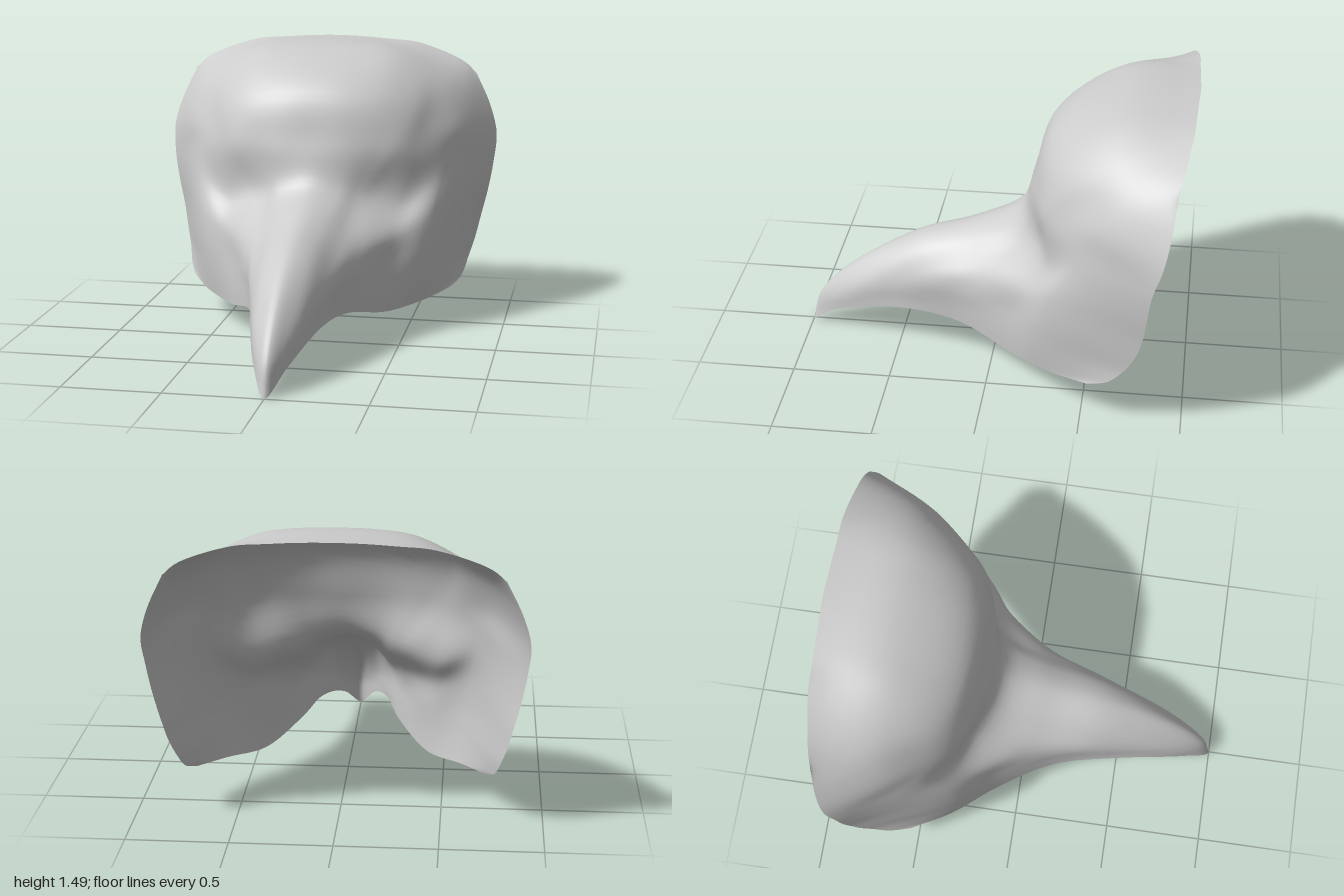
import * as THREE from 'three';

// Guide lines down one half of the mask, each from the top edge to the bottom edge.
const ridge = [
  [0, 1.487, -1], [0, 1.46, -0.62], [0, 1.27, -0.28], [0, 1.0, -0.19], [0, 0.8, -0.12],
  [0, 0.68, 0.12], [0, 0.58, 0.42], [0, 0.36, 0.78], [0, 0.17, 0.955], [0, 0, 1]];
const beakTop = [
  [0.15, 1.483, -0.995], [0.18, 1.455, -0.62], [0.18, 1.26, -0.29], [0.18, 1.0, -0.2], [0.16, 0.77, -0.145],
  [0.12, 0.645, 0.1], [0.11, 0.53, 0.42], [0.09, 0.31, 0.74], [0.075, 0.18, 0.86], [0.08, 0.11, 0.86]];
const beakFlank = [
  [0.3, 1.473, -0.99], [0.36, 1.43, -0.62], [0.36, 1.23, -0.33], [0.34, 1.0, -0.24], [0.25, 0.74, -0.19],
  [0.225, 0.56, 0.08], [0.195, 0.43, 0.37], [0.175, 0.32, 0.5], [0.175, 0.26, 0.5], [0.18, 0.215, 0.49]];
const beakRoot = [
  [0.45, 1.46, -0.985], [0.52, 1.36, -0.64], [0.51, 1.19, -0.41], [0.44, 0.98, -0.275], [0.33, 0.73, -0.235],
  [0.31, 0.53, 0], [0.28, 0.39, 0.13], [0.27, 0.31, 0.15], [0.265, 0.26, 0.16], [0.26, 0.207, 0.17]];
const eyeAndCheek = [
  [0.64, 1.4, -0.96], [0.64, 1.27, -0.65], [0.6, 1.13, -0.48], [0.54, 0.95, -0.345], [0.47, 0.7, -0.295],
  [0.45, 0.54, -0.175], [0.42, 0.4, -0.125], [0.42, 0.29, -0.115], [0.42, 0.21, -0.115], [0.42, 0.145, -0.12]];
const temple = [
  [0.73, 1.355, -0.945], [0.74, 1.2, -0.72], [0.73, 1.06, -0.59], [0.68, 0.93, -0.49], [0.66, 0.78, -0.43],
  [0.63, 0.61, -0.34], [0.61, 0.46, -0.3], [0.6, 0.33, -0.3], [0.595, 0.24, -0.31], [0.59, 0.165, -0.32]];
const rim = [
  [0.79, 1.3, -0.93], [0.87, 1.13, -0.91], [0.91, 0.98, -0.88], [0.9, 0.83, -0.835], [0.875, 0.68, -0.815],
  [0.84, 0.53, -0.795], [0.815, 0.42, -0.76], [0.785, 0.32, -0.705], [0.76, 0.24, -0.63], [0.72, 0.195, -0.53]];

const toCurve = (points, side = 1) =>
  new THREE.CatmullRomCurve3(points.map(([x, y, z]) => new THREE.Vector3(side * x, y, z)));

// Smooth sheet stretched across a row of guide curves.
function loft(guides, rows, cols) {
  const positions = [], index = [];
  for (let r = 0; r <= rows; r++) {
    const section = new THREE.CatmullRomCurve3(guides.map(g => g.getPoint(r / rows)));
    for (let c = 0; c <= cols; c++) positions.push(...section.getPoint(c / cols).toArray());
  }
  for (let r = 0; r < rows; r++) {
    for (let c = 0; c < cols; c++) {
      const a = r * (cols + 1) + c, b = a + cols + 1;
      index.push(a, b, a + 1, b, b + 1, a + 1);
    }
  }
  const geometry = new THREE.BufferGeometry();
  geometry.setAttribute('position', new THREE.Float32BufferAttribute(positions, 3));
  geometry.setIndex(index);
  geometry.computeVertexNormals();
  return geometry;
}

export function createModel() {
  const group = new THREE.Group();
  group.name = 'beakedMask';

  // Guides from the right rim, over the ridge, to the left rim
  const half = [beakTop, beakFlank, beakRoot, eyeAndCheek, temple, rim];
  const guides = [
    ...half.map(g => toCurve(g, -1)).reverse(),
    toCurve(ridge),
    ...half.map(g => toCurve(g)),
  ];

  // Thin open shell: forehead, eye hollows, cheeks and beak in one sheet
  const shell = new THREE.Mesh(
    loft(guides, 54, 72),
    new THREE.MeshStandardMaterial({ color: 0xcccccc, side: THREE.DoubleSide }));
  shell.name = 'maskShell';
  group.add(shell);
  return group;
}
